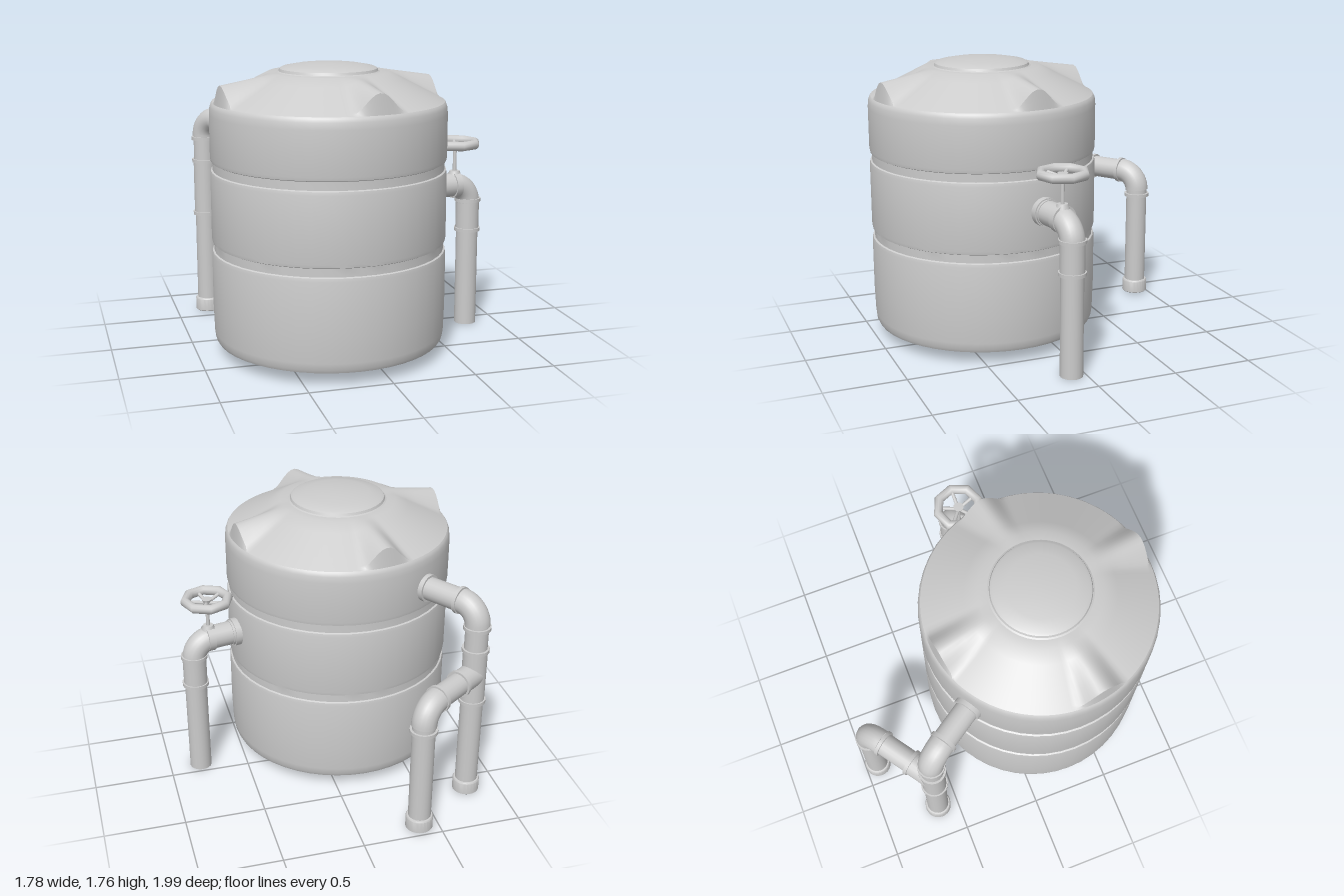
import * as THREE from 'three';
import { toCreasedNormals } from 'three/addons/utils/BufferGeometryUtils.js';

const mat = new THREE.MeshStandardMaterial({ color: 0xcccccc, side: THREE.DoubleSide });
const V = (x, y, z) => new THREE.Vector3(x, y, z);
const CX = -0.185, CZ = 0.28; // tank axis
const UP = V(0, 1, 0);

function add(parent, geo, name) {
  const m = new THREE.Mesh(geo, mat);
  m.name = name;
  parent.add(m);
  return m;
}

// Cylinder between two points
function rod(parent, a, b, r, name, open = true) {
  const d = b.clone().sub(a);
  const m = add(parent, new THREE.CylinderGeometry(r, r, d.length(), 20, 1, open), name);
  m.position.copy(a).addScaledVector(d, 0.5);
  m.quaternion.setFromUnitVectors(UP, d.normalize());
  return m;
}

// Thin raised ring centred on p, along direction d
function collar(parent, p, d, r = 0.084, w = 0.022) {
  rod(parent, p.clone().addScaledVector(d, -w / 2), p.clone().addScaledVector(d, w / 2), r, 'collar', false);
}

// Quarter bend from horizontal direction d, turning down at corner
function elbow(parent, corner, d, r = 0.075, bend = 0.12) {
  const c = corner.clone().addScaledVector(d, -bend).addScaledVector(UP, -bend);
  const pts = [];
  for (let i = 0; i <= 10; i++) {
    const t = i / 10 * Math.PI / 2;
    pts.push(c.clone().addScaledVector(UP, bend * Math.cos(t)).addScaledVector(d, bend * Math.sin(t)));
  }
  add(parent, new THREE.TubeGeometry(new THREE.CatmullRomCurve3(pts), 12, r, 20), 'elbow');
}

function lathe(parent, pts, name, seg = 48) {
  const g = new THREE.LatheGeometry(pts.map(p => new THREE.Vector2(...p)), seg);
  return add(parent, toCreasedNormals(g, 0.6), name);
}

// Sloping roof with four raised radial ribs, as a polar grid
function roofGeometry() {
  const N = 160, twist = 0.166, half = 0.235;
  const radii = [0.28, 0.36, 0.44, 0.52, 0.6, 0.665, 0.68, 0.692];
  const pos = [], idx = [];
  radii.forEach((r, j) => {
    const t = Math.max(0, (r - 0.36) / 0.33);
    for (let i = 0; i <= N; i++) {
      const a = i / N * Math.PI * 2;
      const q = Math.PI / 2;
      const off = a - twist - Math.round((a - twist) / q) * q;
      const bump = Math.abs(off) < half ? Math.cos(off / half * Math.PI / 2) ** 1.6 : 0;
      const rise = j === radii.length - 1 ? 0 : 0.118 * Math.min(1, t) * bump;
      pos.push(r * Math.cos(a), 1.71 - 0.17 * t + rise, -r * Math.sin(a));
      if (j && i) {
        const p = j * (N + 1) + i, o = p - N - 1;
        idx.push(o - 1, p - 1, p, o - 1, p, o);
      }
    }
  });
  const g = new THREE.BufferGeometry();
  g.setAttribute('position', new THREE.Float32BufferAttribute(pos, 3));
  g.setIndex(idx);
  g.computeVertexNormals();
  return toCreasedNormals(g, 0.6);
}

function buildTank() {
  const tank = new THREE.Group();
  tank.name = 'tank';
  // Hollow wall with base flange and two grooves
  lathe(tank, [
    [0.61, 0.08], [0.69, 0.08], [0.7, 0.1], [0.705, 0.14], [0.71, 0.3], [0.71, 0.62], [0.706, 0.64],
    [0.696, 0.645], [0.696, 0.695], [0.706, 0.70], [0.71, 0.72], [0.71, 1.11], [0.706, 1.13],
    [0.696, 1.135], [0.696, 1.185], [0.706, 1.19], [0.71, 1.21], [0.71, 1.47], [0.706, 1.51],
    [0.699, 1.53], [0.69, 1.54],
  ], 'tankWall');
  add(tank, roofGeometry(), 'ribbedRoof');
  lathe(tank, [
    [0.31, 1.708], [0.296, 1.715], [0.29, 1.73], [0.275, 1.738], [0.2, 1.752], [0.1, 1.762], [0, 1.765],
  ], 'lid');
  tank.position.set(CX, 0, CZ);
  return tank;
}

function buildHandwheel() {
  const wheel = new THREE.Group();
  wheel.name = 'handwheel';
  const rim = add(wheel, new THREE.TorusGeometry(0.134, 0.03, 12, 8), 'wheelRim');
  rim.rotation.x = Math.PI / 2;
  for (let i = 0; i < 5; i++) {
    const a = i / 5 * Math.PI * 2;
    rod(wheel, V(0, -0.022, 0), V(0.125 * Math.cos(a), 0, 0.125 * Math.sin(a)), 0.011, 'spoke');
  }
  const hub = add(wheel, new THREE.CylinderGeometry(0.032, 0.014, 0.05, 16), 'hub');
  hub.position.y = -0.02;
  rod(wheel, V(0, -0.2, 0), V(0, -0.03, 0), 0.012, 'stem');
  const gland = add(wheel, new THREE.CylinderGeometry(0.032, 0.045, 0.035, 16), 'stemGland');
  gland.position.y = -0.195;
  return wheel;
}

function buildOutlet() {
  const g = new THREE.Group();
  g.name = 'outletPipe';
  const end = V(0.80, 0.935, 0.085), axis = V(CX, 0.935, CZ);
  const d = end.clone().sub(axis).normalize();
  const at = s => axis.clone().addScaledVector(d, s);
  const down = y => V(end.x, y, end.z);
  const L = end.distanceTo(axis);
  rod(g, at(0.69), at(L - 0.12), 0.075, 'horizontalPipe');
  collar(g, at(0.725), d, 0.088, 0.04);
  collar(g, at(0.752), d, 0.08, 0.015);
  collar(g, at(0.9), d, 0.084, 0.045);
  elbow(g, end, d);
  rod(g, down(0.63), down(0.82), 0.075, 'pipeSleeve');
  rod(g, down(0), down(0.64), 0.07, 'downPipe');
  [0.83, 0.635].forEach(y => collar(g, down(y), UP));
  const wheel = buildHandwheel();
  wheel.position.copy(at(0.9)).setY(1.205);
  g.add(wheel);
  return g;
}

function buildOverflow() {
  const g = new THREE.Group();
  g.name = 'overflowPipe';
  const A = y => V(-0.79, y, -0.63), B = y => V(-0.375, y, -0.915);
  const axis = V(CX, 1.325, CZ);
  const d = A(1.325).sub(axis).normalize();
  const at = s => axis.clone().addScaledVector(d, s);
  const L = A(1.325).distanceTo(axis);
  // Pipe leaving the tank and turning down
  rod(g, at(0.69), at(L - 0.12), 0.072, 'horizontalPipe');
  collar(g, at(0.722), d, 0.086, 0.03);
  collar(g, at(L - 0.13), d);
  elbow(g, A(1.325), d, 0.077);
  rod(g, A(1.04), A(1.21), 0.071, 'upperPipe');
  rod(g, A(0.68), A(1.04), 0.075, 'teeBody');
  rod(g, A(0.05), A(0.69), 0.07, 'downPipe');
  [1.19, 1.04, 0.685].forEach(y => collar(g, A(y), UP));
  // Side branch
  const e = B(0.87).sub(A(0.87)).normalize();
  const br = s => A(0.87).addScaledVector(e, s);
  const M = A(0.87).distanceTo(B(0.87));
  rod(g, br(0), br(0.16), 0.075, 'teeBranch');
  rod(g, br(0.15), br(M - 0.12), 0.071, 'branchPipe');
  [0.16, M - 0.13].forEach(s => collar(g, br(s), e));
  elbow(g, B(0.87), e, 0.077);
  rod(g, B(0.05), B(0.76), 0.07, 'branchDownPipe');
  collar(g, B(0.715), UP);
  // Sockets at the lower ends
  for (const P of [A, B]) {
    const s = lathe(g, [[0.078, 0.01], [0.084, 0.015], [0.084, 0.09], [0.079, 0.098], [0.068, 0.1]], 'endSocket', 24);
    s.position.copy(P(0));
  }
  return g;
}

export function createModel() {
  const model = new THREE.Group();
  model.name = 'waterTank';
  model.add(buildTank(), buildOutlet(), buildOverflow());
  return model;
}
